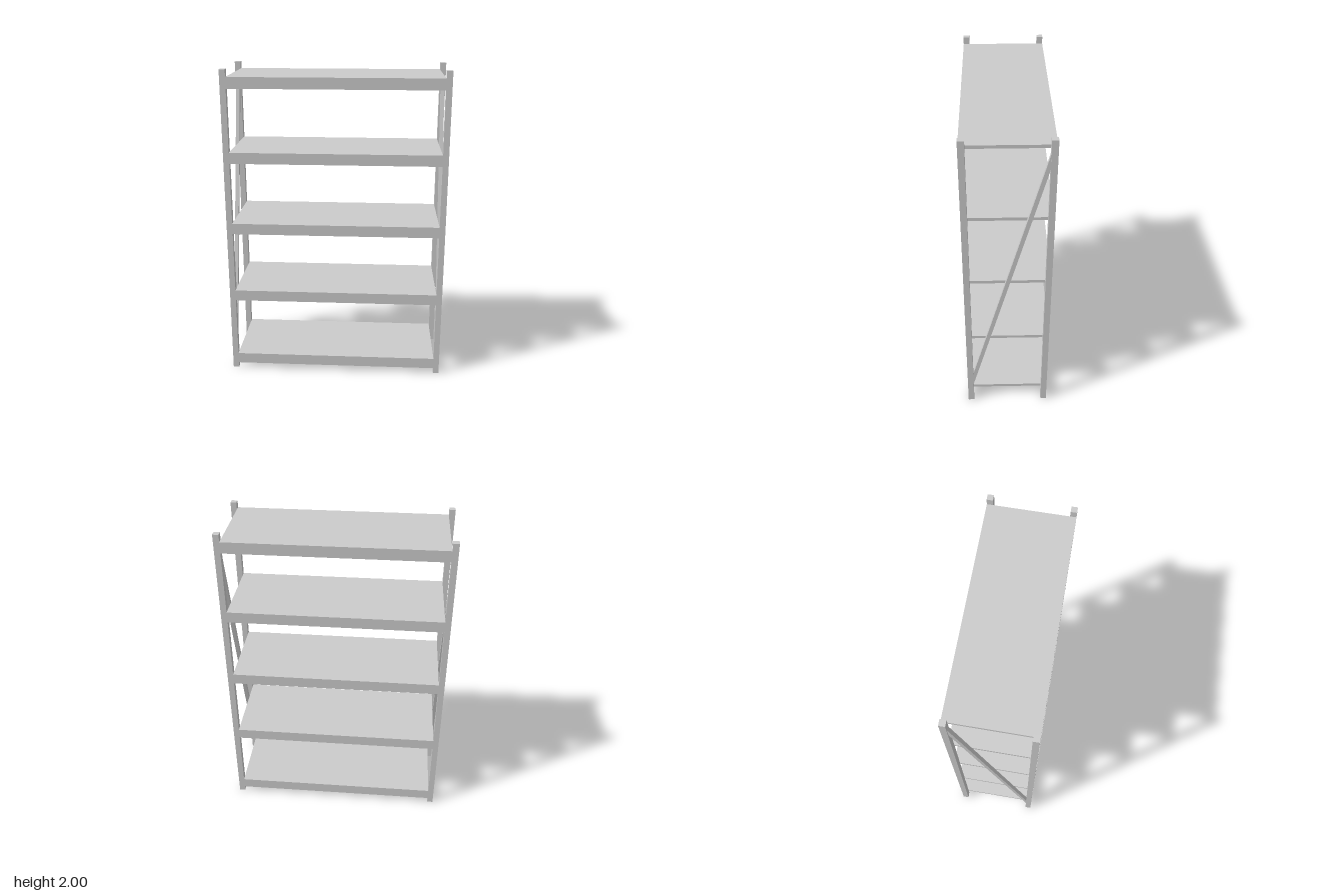
import * as THREE from 'three';

export function createModel() {
  const model = new THREE.Group();
  const material = new THREE.MeshStandardMaterial({ color: 0xcccccc, flatShading: true });

  const addBox = (name, size, position) => {
    const mesh = new THREE.Mesh(new THREE.BoxGeometry(...size), material);
    mesh.name = name;
    mesh.position.set(...position);
    model.add(mesh);
    return mesh;
  };

  const halfX = 0.695, halfZ = 0.26, post = 0.037;
  const innerX = halfX - post;
  const postX = halfX - post / 2, postZ = halfZ - post / 2;
  const boardThickness = 0.02, beamHeight = 0.05, beamDepth = 0.03;

  // Corner posts
  for (const sx of [-1, 1]) {
    for (const sz of [-1, 1]) {
      addBox('post', [post, 2, post], [sx * postX, 1, sz * postZ]);
    }
  }

  // Five shelf boards, each carried by a front and a back beam
  for (let i = 0; i < 5; i++) {
    const top = 0.105 + i * 0.4625;
    const beamY = top - boardThickness - beamHeight / 2;
    addBox('shelfBoard', [2 * innerX, boardThickness, 2 * halfZ], [0, top - boardThickness / 2, 0]);
    for (const sz of [-1, 1]) {
      addBox(sz > 0 ? 'frontBeam' : 'backBeam', [2 * innerX, beamHeight, beamDepth],
        [0, beamY, sz * (halfZ - beamDepth / 2)]);
    }
  }

  // Diagonal side braces, low at the front and high at the back
  const rise = 1.81, run = 2 * postZ;
  for (const sx of [-1, 1]) {
    const brace = addBox('sideBrace', [0.024, Math.hypot(rise, run), 0.025], [sx * postX, 1.03, 0]);
    brace.rotation.x = -Math.atan2(run, rise);
  }

  return model;
}
